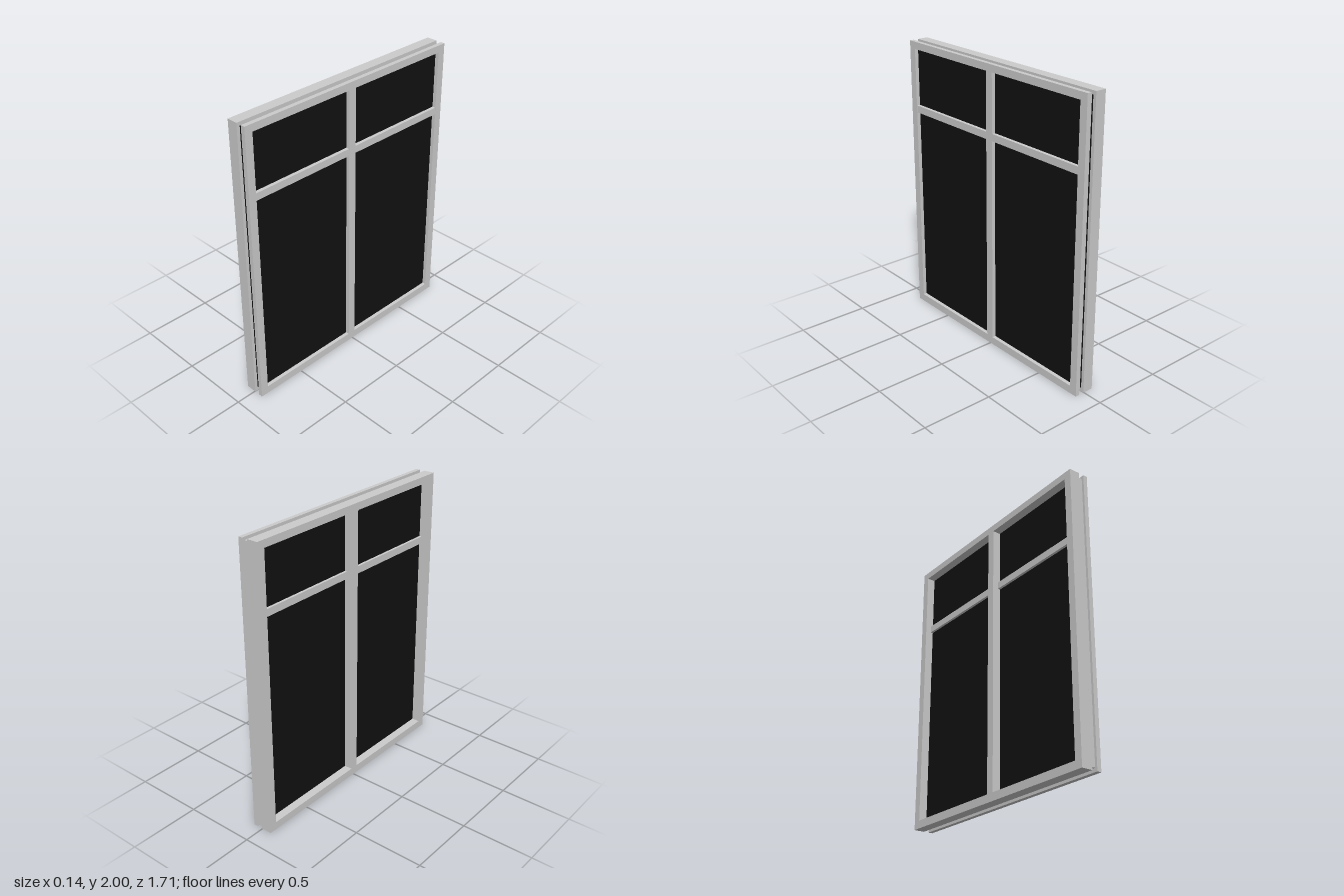
import * as THREE from 'three';

const grey = new THREE.MeshStandardMaterial({ color: 0xcccccc });
const dark = new THREE.MeshStandardMaterial({ color: 0x111111 });

const W = 0.855;                       // half width along z
const OPEN = { z: 0.8, y0: 0.055, y1: 1.95 };
const MULLION = { z0: -0.022, z1: 0.036 };
const TRANSOM = { y0: 1.5, y1: 1.55 };

// box given by its limits on each axis
function slab(name, x0, x1, y0, y1, z0, z1, material = grey) {
  const mesh = new THREE.Mesh(new THREE.BoxGeometry(x1 - x0, y1 - y0, z1 - z0), material);
  mesh.position.set((x0 + x1) / 2, (y0 + y1) / 2, (z0 + z1) / 2);
  mesh.name = name;
  return mesh;
}

// rectangular ring in the yz plane, extruded along x
function ring(name, x0, x1, y0, y1, halfZ) {
  const s = new THREE.Shape([[-halfZ, y0], [halfZ, y0], [halfZ, y1], [-halfZ, y1]]
    .map(p => new THREE.Vector2(...p)));
  s.holes.push(new THREE.Path([[-OPEN.z, OPEN.y0], [-OPEN.z, OPEN.y1], [OPEN.z, OPEN.y1], [OPEN.z, OPEN.y0]]
    .map(p => new THREE.Vector2(...p))));
  const g = new THREE.ExtrudeGeometry(s, { depth: x1 - x0, bevelEnabled: false });
  g.rotateY(Math.PI / 2);
  g.translate(x0, 0, 0);
  const mesh = new THREE.Mesh(g, grey);
  mesh.name = name;
  return mesh;
}

export function createModel() {
  const model = new THREE.Group();
  model.name = 'window';

  // deep frame on one face, thin cover frame on the other
  model.add(ring('deepFrame', -0.072, 0.004, 0, 2, W));
  model.add(ring('coverFrame', 0.042, 0.072, 0, 2, W));

  // spacer between the frames, set in from the outer edge
  model.add(ring('spacer', 0.02, 0.042, 0.025, 1.98, 0.838));

  // glazing
  model.add(slab('glass', -0.014, 0.046, 0.03, 1.975, -0.833, 0.833, dark));

  // mullion on both faces
  const { z0, z1 } = MULLION;
  model.add(slab('deepMullion', -0.072, -0.012, OPEN.y0, OPEN.y1, z0, z1));
  model.add(slab('coverMullion', 0.042, 0.072, OPEN.y0, OPEN.y1, z0, z1));

  // transom bars either side of the mullion
  for (const [a, b] of [[-OPEN.z, z0], [z1, OPEN.z]]) {
    model.add(slab('deepTransom', -0.032, -0.012, TRANSOM.y0, TRANSOM.y1, a, b));
    model.add(slab('coverTransom', 0.042, 0.07, TRANSOM.y0, TRANSOM.y1, a, b));
  }
  return model;
}
